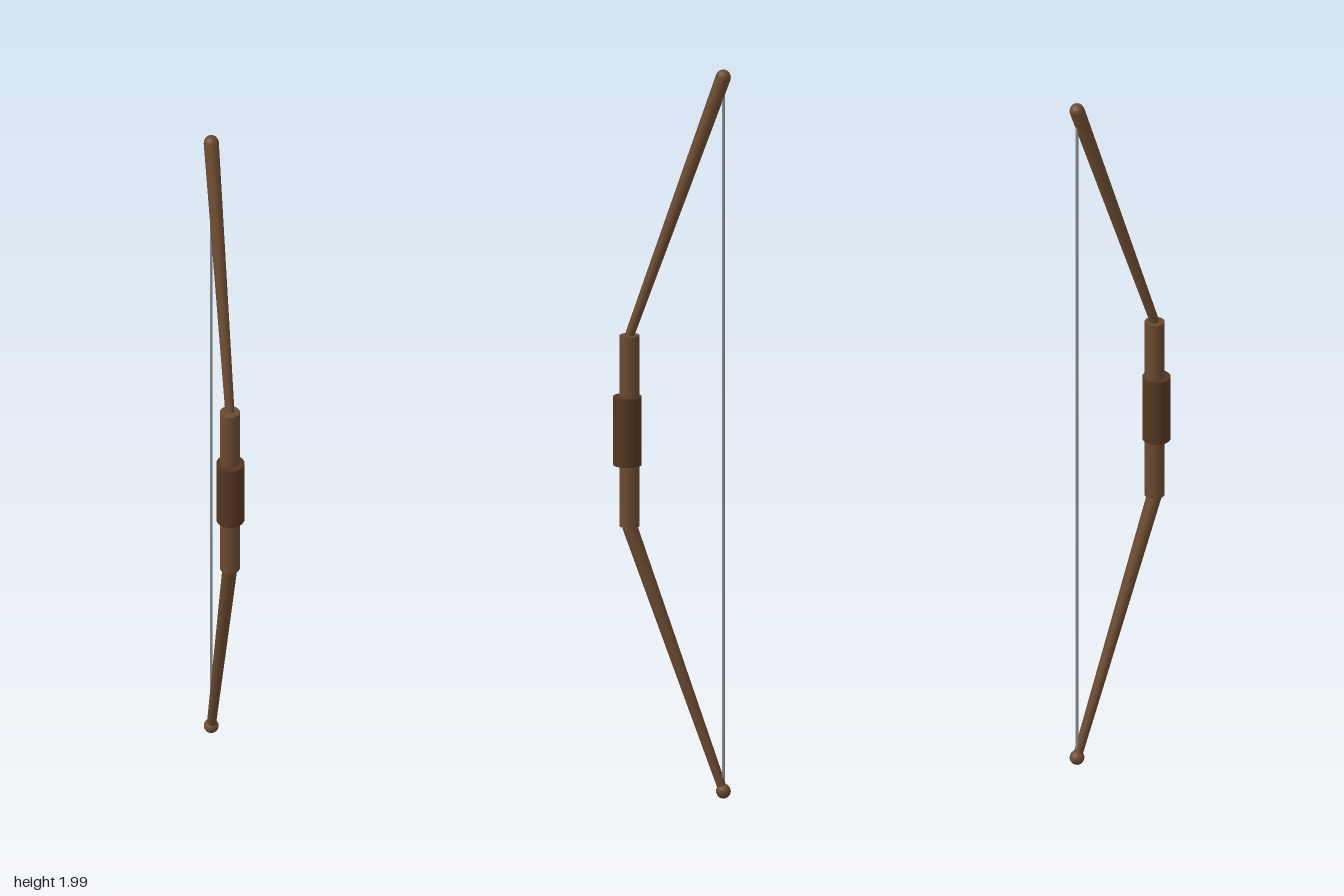
import * as THREE from 'three';

export function createModel() {
  const bow = new THREE.Group();
  bow.name = 'bow';
  const wood = new THREE.MeshStandardMaterial({ color: 0x6b4a2f });
  const leather = new THREE.MeshStandardMaterial({ color: 0x54361f });
  const cord = new THREE.MeshStandardMaterial({ color: 0x8a8f94 });

  const Y = new THREE.Vector3(0, 1, 0);
  const at = (y, z) => new THREE.Vector3(0, y, z);

  // Round rod between two points, r0 at the lower end and r1 at the upper end
  function rod(name, from, to, r0, r1, sides, material) {
    const dir = to.clone().sub(from);
    const mesh = new THREE.Mesh(new THREE.CylinderGeometry(r1, r0, dir.length(), sides), material);
    mesh.name = name;
    mesh.position.copy(from).add(to).multiplyScalar(0.5);
    mesh.quaternion.setFromUnitVectors(Y, dir.normalize());
    bow.add(mesh);
  }

  const bottomTip = at(0.026, -0.139), topTip = at(1.979, -0.139);
  const riserBottom = at(0.743, 0.113), riserTop = at(1.265, 0.113);

  // Central riser and its wider grip wrap
  rod('riser', riserBottom, riserTop, 0.027, 0.027, 16, wood);
  rod('grip', at(0.91, 0.119), at(1.098, 0.119), 0.038, 0.038, 16, leather);

  // Limbs: both taper towards their lower end
  rod('upperLimb', riserTop, topTip, 0.0125, 0.0205, 12, wood);
  rod('lowerLimb', bottomTip, riserBottom, 0.0125, 0.0205, 12, wood);

  // Rounded tips that hold the string
  for (const [name, p] of [['upperTip', topTip], ['lowerTip', bottomTip]]) {
    const tip = new THREE.Mesh(new THREE.SphereGeometry(0.02, 12, 10), wood);
    tip.name = name;
    tip.position.copy(p);
    bow.add(tip);
  }

  // Bowstring
  rod('bowstring', bottomTip, topTip, 0.004, 0.004, 8, cord);

  return bow;
}
